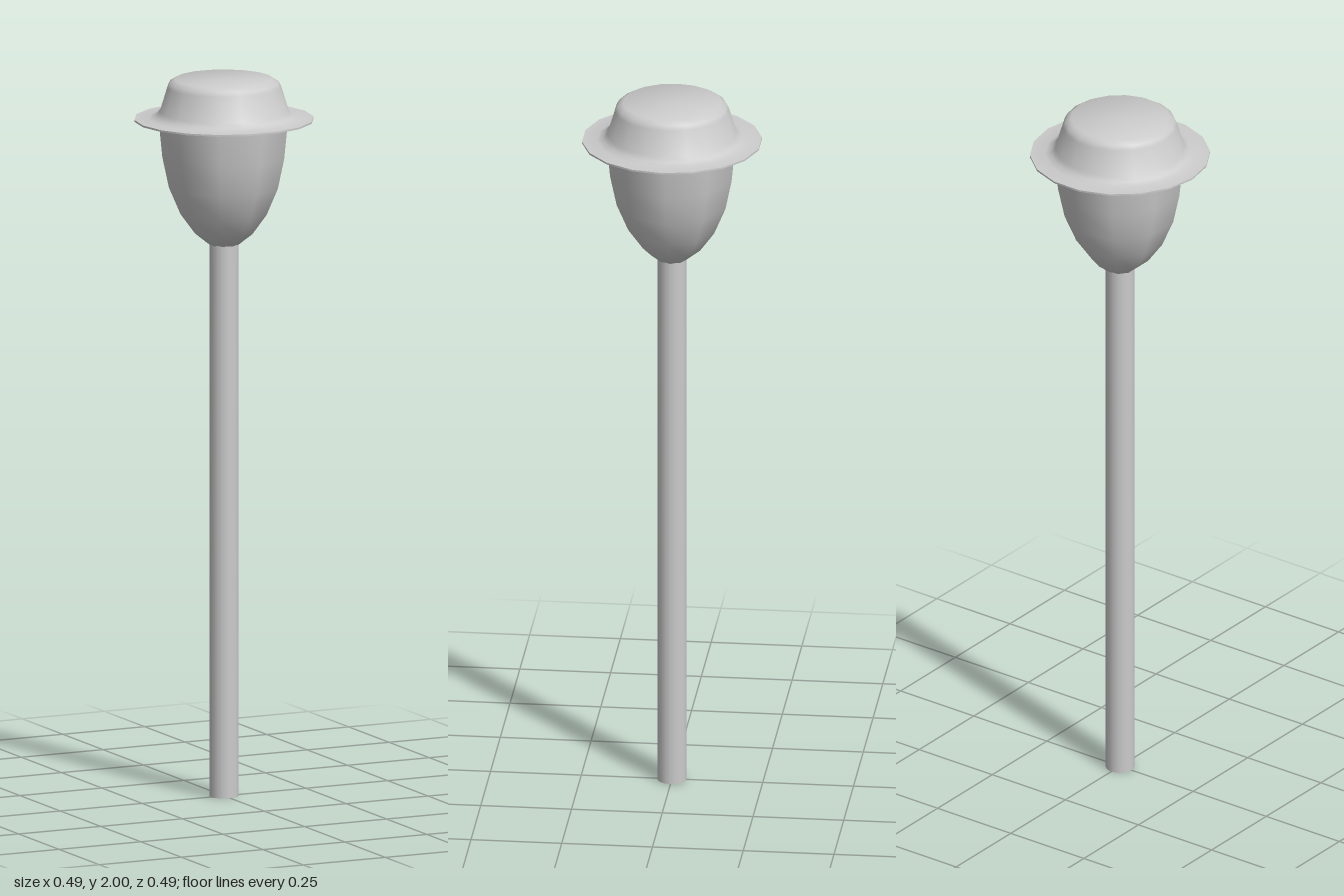
import * as THREE from 'three';
import { toCreasedNormals } from 'three/addons/utils/BufferGeometryUtils.js';

const material = new THREE.MeshStandardMaterial({ color: 0xcccccc, side: THREE.DoubleSide });

// Turned part: profile of [radius, height] from bottom to top, first corner on +x
function turned(name, profile, sides, crease) {
  const points = profile.map(([r, y]) => new THREE.Vector2(r, y));
  const geometry = new THREE.LatheGeometry(points, sides, Math.PI / 2);
  const mesh = new THREE.Mesh(crease ? toCreasedNormals(geometry, crease) : geometry, material);
  mesh.name = name;
  return mesh;
}

export function createModel() {
  const group = new THREE.Group();
  group.name = 'gardenLamp';

  // Hollow post, open at the foot
  group.add(turned('post', [[0.04, 0], [0.04, 1.545]], 18));

  // Tapering nine-sided lamp bowl
  group.add(turned('bowl', [
    [0, 1.535], [0.04, 1.538], [0.08, 1.57], [0.12, 1.625],
    [0.152, 1.7], [0.17, 1.785], [0.18, 1.886],
  ], 9));

  // Cap with a thin wide brim and a rounded crown
  group.add(turned('cap', [
    [0, 1.885], [0.247, 1.885], [0.247, 1.89], [0.205, 1.891], [0.19, 1.897], [0.178, 1.91],
    [0.157, 1.978], [0.151, 1.99], [0.135, 2], [0, 2],
  ], 18, 0.75));

  return group;
}
